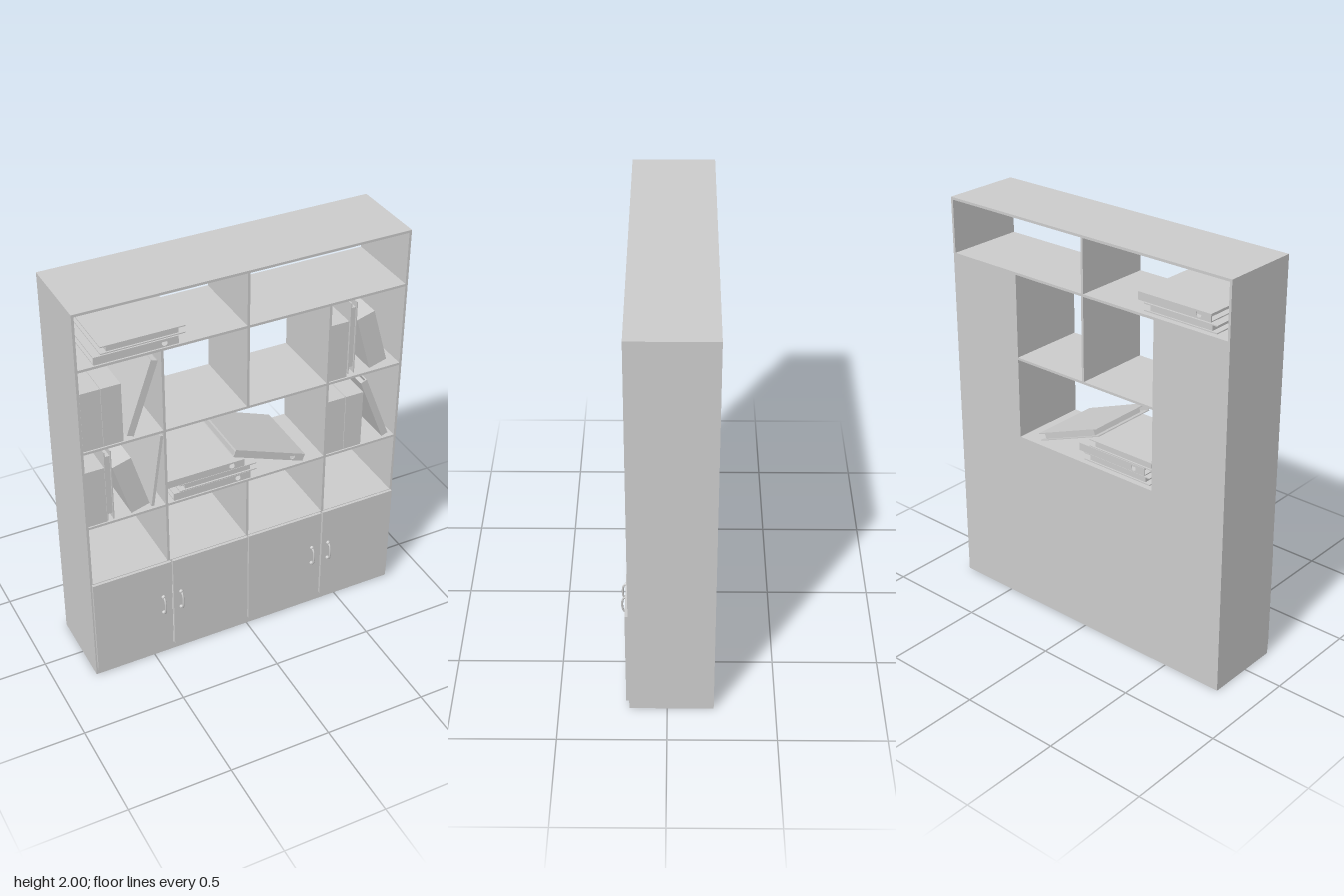
import * as THREE from 'three';

const mat = new THREE.MeshStandardMaterial({ color: 0xcccccc, side: THREE.DoubleSide });

// Box given by its min and max on each axis
function box(parent, name, x0, x1, y0, y1, z0, z1) {
  const m = new THREE.Mesh(new THREE.BoxGeometry(x1 - x0, y1 - y0, z1 - z0), mat);
  m.position.set((x0 + x1) / 2, (y0 + y1) / 2, (z0 + z1) / 2);
  m.name = name;
  parent.add(m);
  return m;
}

// Thin binder lying flat: covers, page block, spine on +z with a finger hole
function binder(parent, x, y, angle, { flip = false, hole = true, len = 0.39, thick = 0.038 } = {}) {
  const g = new THREE.Group();
  g.name = 'binder';
  const l = len / 2, h = thick / 2, d = 0.18, c = 0.005;
  box(g, 'lowerCover', -l, l, -h, -h + c, -d, d);
  box(g, 'upperCover', -l, l, h - c, h, -d, d);
  box(g, 'pages', -l + 0.03, l - 0.03, -h + c, h - c, -d + 0.008, d - 0.03);
  const s = new THREE.Shape();
  s.moveTo(-l, -h).lineTo(l, -h).lineTo(l, h).lineTo(-l, h).closePath();
  if (hole) s.holes.push(new THREE.Path().absarc(l - 0.065, 0, 0.014, 0, Math.PI * 2, true));
  const spine = new THREE.Mesh(new THREE.ExtrudeGeometry(s, { depth: c, bevelEnabled: false, curveSegments: 10 }), mat);
  spine.position.z = d - c;
  spine.name = 'spine';
  g.add(spine);
  g.position.set(x, y, -0.01);
  g.rotation.set(0, flip ? Math.PI : 0, THREE.MathUtils.degToRad(angle));
  parent.add(g);
}

// Thick hardback with a rounded spine facing the front
function roundBook(parent, x, y, tilt) {
  const w = 0.0465, s = new THREE.Shape();
  s.moveTo(-w, 0.12).lineTo(-w, -0.09);
  s.quadraticCurveTo(0, -0.14, w, -0.09);
  s.lineTo(w, 0.12).closePath();
  const geo = new THREE.ExtrudeGeometry(s, { depth: 0.29, bevelEnabled: false, curveSegments: 12 });
  geo.translate(0, 0, -0.145).rotateX(-Math.PI / 2).rotateY(Math.PI);
  // Turn the spine towards +z
  geo.computeBoundingBox();
  if (Math.abs(geo.boundingBox.min.z) > geo.boundingBox.max.z) geo.rotateY(Math.PI);
  const m = new THREE.Mesh(geo, mat);
  m.name = 'roundBook';
  m.position.set(x, y, 0.05);
  m.rotation.z = THREE.MathUtils.degToRad(tilt);
  parent.add(m);
}

// Bowed pull handle with two feet
function handle(parent, x) {
  const g = new THREE.Group();
  g.name = 'handle';
  const path = new THREE.CatmullRomCurve3([
    [-0.047, 0.19], [-0.043, 0.203], [-0.026, 0.212], [0.026, 0.212], [0.043, 0.203], [0.047, 0.19],
  ].map(([y, z]) => new THREE.Vector3(0, y, z)));
  const bar = new THREE.Mesh(new THREE.TubeGeometry(path, 24, 0.005, 8), mat);
  bar.name = 'handleBar';
  g.add(bar);
  for (const s of [-1, 1]) {
    const foot = new THREE.Mesh(new THREE.CylinderGeometry(0.008, 0.011, 0.012, 12), mat);
    foot.rotation.x = Math.PI / 2;
    foot.position.set(0, s * 0.048, 0.194);
    foot.name = 'handleFoot';
    g.add(foot);
  }
  g.position.set(x, 0.315, 0);
  parent.add(g);
}

export function createModel() {
  const model = new THREE.Group();
  model.name = 'bookcase';
  const W = 0.805, zb = -0.215, zf = 0.175, t = 0.012, D = 0.41;

  // Carcass
  box(model, 'rightSide', -W, -W + t, 0, 2, zb, zf);
  box(model, 'leftSide', W - t, W, 0, 2, zb, zf);
  box(model, 'topPanel', -W + t, W - t, 2 - t, 2, zb, zf);
  box(model, 'base', -W + t, W - t, 0, 0.04, zb, zf);
  for (const y of [0.565, 0.897, 1.309, 1.73]) box(model, 'shelf', -W + t, W - t, y - t, y, zb, zf);

  // Uprights, row by row
  const rows = [
    [0.04, 0.553, [-D, 0, D]], [0.565, 0.885, [-D, 0, D]], [0.897, 1.297, [-D, D]],
    [1.309, 1.718, [-D, 0, D]], [1.73, 1.988, [0]],
  ];
  for (const [y0, y1, xs] of rows)
    for (const x of xs) box(model, 'divider', x - t / 2, x + t / 2, y0, y1, zb, zf);

  // Back panels, leaving the middle and top bays open
  box(model, 'backLower', -W + t, W - t, 0.04, 0.885, zb, zb + 0.008);
  for (const s of [-1, 1])
    for (const [y0, y1] of [[0.897, 1.297], [1.309, 1.718]])
      box(model, 'backSide', Math.min(s * D, s * (W - t)), Math.max(s * D, s * (W - t)), y0, y1, zb, zb + 0.008);

  // Doors and handles
  for (const [x0, x1] of [[-0.798, -0.404], [-0.396, -0.003], [0.003, 0.398], [0.408, 0.798]])
    box(model, 'door', x0, x1, 0.042, 0.562, zf, 0.189);
  for (const x of [-0.45, -0.358, 0.352, 0.443]) handle(model, x);

  // Plain upright books: left edge, shelf height
  for (const [x, y] of [[-0.79, 1.309], [-0.695, 1.309], [-0.793, 0.897], [0.418, 1.309], [0.42, 0.897], [0.516, 0.897]])
    box(model, 'book', x, x + 0.093, y, y + 0.298, -0.06, 0.168);

  // Rounded leaning books
  roundBook(model, -0.578, 1.057, 16);
  roundBook(model, 0.636, 1.476, 16);

  // Upright and leaning binders
  const plain = { hole: false, len: 0.375, thick: 0.034 };
  binder(model, -0.682, 1.09, 90, { ...plain, flip: true });
  binder(model, 0.533, 1.512, 90, { ...plain, flip: true });
  binder(model, -0.508, 1.502, 70.4, plain);
  binder(model, 0.675, 1.084, 111.5, { ...plain, len: 0.37 });
  binder(model, -0.45, 1.093, 81.5, { ...plain, thick: 0.014 });

  // Stacked binders
  binder(model, -0.525, 1.751, 0);
  binder(model, -0.492, 1.794, 0, { flip: true });
  binder(model, -0.177, 0.918, 0);
  binder(model, -0.147, 0.957, 0, { flip: true });
  binder(model, -0.208, 0.997, 0);
  binder(model, 0.117, 0.992, -21.4);
  return model;
}
